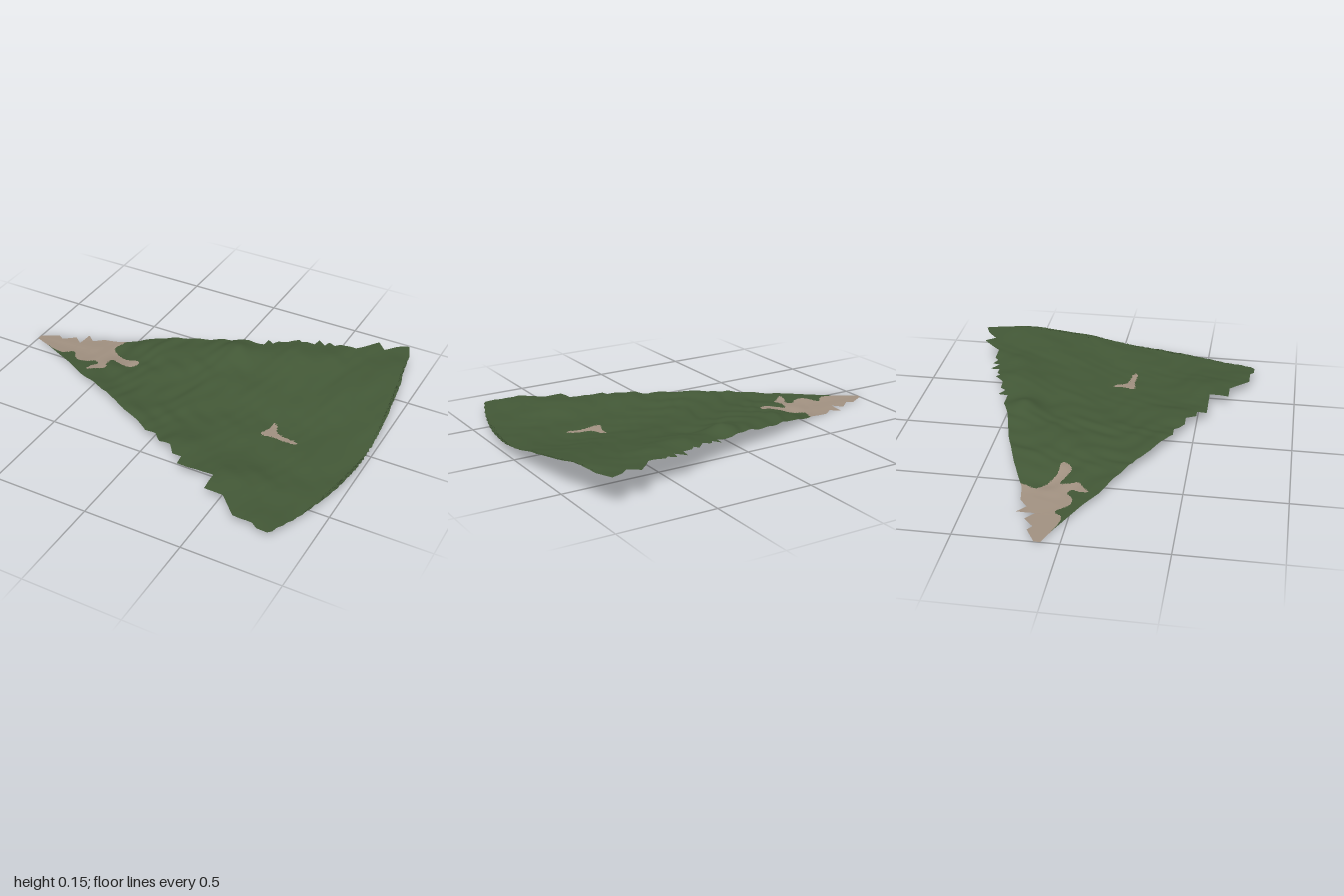
import * as THREE from 'three';

// Ragged side edges of the wedge as [x, z]
const BACK = [[-1, -0.12], [-0.91, -0.17], [-0.88, -0.15], [-0.82, -0.2], [-0.772, -0.16], [-0.768, -0.25], [-0.72, -0.21],
  [-0.67, -0.25], [-0.57, -0.265], [-0.4, -0.34], [-0.2, -0.41], [0, -0.46], [0.09, -0.5], [0.178, -0.5], [0.182, -0.55],
  [0.22, -0.52], [0.24, -0.55], [0.29, -0.55], [0.34, -0.6], [0.36, -0.58], [0.38, -0.6], [0.428, -0.6], [0.432, -0.65],
  [0.48, -0.61], [0.49, -0.65], [0.53, -0.63], [0.55, -0.65], [0.64, -0.65], [0.73, -0.75], [0.78, -0.7], [0.83, -0.75], [0.89, -0.78], [1, -0.78]];
const FRONT = [[-1, -0.09], [-0.9, -0.05], [-0.8, 0], [-0.7, 0.05], [-0.6, 0.11], [-0.5, 0.15], [-0.4, 0.2], [-0.3, 0.25],
  [-0.2, 0.31], [-0.1, 0.35], [-0.03, 0.4], [0.03, 0.4], [0.08, 0.45], [0.14, 0.45], [0.18, 0.5], [0.228, 0.5], [0.232, 0.55],
  [0.428, 0.55], [0.432, 0.65], [0.53, 0.65], [0.63, 0.75], [0.73, 0.75], [0.76, 0.77], [1, 0.77]];

// Bare earth: the patch at the tip and a small clearing
const PATCHES = [
  [[-1.06, -0.32], [-0.58, -0.31], [-0.57, -0.2], [-0.53, -0.16], [-0.45, -0.115], [-0.37, -0.11], [-0.37, -0.07], [-0.41, -0.05],
    [-0.47, -0.07], [-0.52, -0.09], [-0.525, -0.04], [-0.51, 0], [-0.55, 0.03], [-0.59, 0.06], [-0.59, 0.02], [-0.57, -0.02],
    [-0.6, -0.04], [-0.64, -0.01], [-0.7, -0.01], [-0.75, -0.07], [-0.8, -0.03], [-0.87, -0.04], [-0.92, -0.055], [-1.06, -0.04]],
  [[0.49, 0.02], [0.52, 0.04], [0.53, 0.08], [0.58, 0.1], [0.65, 0.11], [0.65, 0.135], [0.55, 0.13], [0.5, 0.14], [0.47, 0.125], [0.49, 0.07]],
].map((pts) => {
  const v = pts.map(([x, z]) => new THREE.Vector2(x, z));
  return new THREE.SplineCurve([...v, v[0]]).getPoints(pts.length * 4);
});

// Broad relief: rows run from the tip to the arc, columns from back to front
const RELIEF = [
  [0.002, 0.002, 0.002, 0.002, 0.002],
  [0.007, 0.012, 0.012, 0.02, 0.03],
  [0.072, 0.068, 0.052, 0.047, 0.055],
  [0.1, 0.082, 0.045, 0.04, 0.055],
  [0.13, 0.1, 0.042, 0.032, 0.048],
  [0.15, 0.13, 0.06, 0.032, 0.036],
];
// Hills and hollows: x, z, height, radius
const HILLS = [[0.07, -0.38, 0.035, 0.08], [0.35, -0.48, 0.028, 0.12], [0.55, -0.5, 0.012, 0.09], [0.9, -0.58, 0.012, 0.1],
  [-0.35, -0.25, 0.012, 0.09], [-0.52, -0.17, -0.012, 0.06], [0.55, 0.52, 0.022, 0.13], [0.2, 0.4, 0.012, 0.1], [0.2, -0.25, -0.012, 0.09]];

function edgeAt(edge, x) {
  let i = 0;
  while (i < edge.length - 2 && edge[i + 1][0] < x) i++;
  const [a, b] = [edge[i], edge[i + 1]];
  return THREE.MathUtils.mapLinear(x, a[0], b[0], a[1], b[1]);
}

function cubic(list, t) {
  const n = list.length - 1;
  const at = (k) => list[THREE.MathUtils.clamp(k, 0, n)];
  const i = Math.min(Math.floor(t), n - 1), f = t - i;
  const [a, b, c, d] = [at(i - 1), at(i), at(i + 1), at(i + 2)];
  return b + 0.5 * f * (c - a + f * (2 * a - 5 * b + 4 * c - d + f * (3 * (b - c) + d - a)));
}

function heightAt(x, z) {
  const zBack = -0.12 - 0.35 * (x + 1), zFront = -0.09 + 0.475 * (x + 1);
  const v = THREE.MathUtils.clamp((z - zBack) / (zFront - zBack), 0, 1) * 4;
  const u = THREE.MathUtils.clamp((x + 1) / 0.4, 0, 5);
  let y = cubic(RELIEF.map((row) => cubic(row, v)), u);
  for (const [hx, hz, h, r] of HILLS) y += h * Math.exp(-((x - hx) ** 2 + (z - hz) ** 2) / (r * r));
  // Small wandering ridges, fading out toward the tip
  const fade = THREE.MathUtils.smoothstep(x, -0.75, -0.4);
  const fine = 1 - 0.6 * THREE.MathUtils.smoothstep(x, -0.1, 0.4);
  y += fade * 0.003 * Math.sin(9 * x + 17 * z + 2 * Math.sin(7 * x - 4 * z));
  y += fade * fine * 0.0028 * Math.sin(38 * x - 21 * z + 2.5 * Math.sin(13 * z + 6 * x));
  y += fade * fine * 0.0018 * Math.sin(31 * z + 47 * x + 2 * Math.sin(19 * x));
  return Math.max(0, y);
}

function isEarth(x, z) {
  return PATCHES.some((poly) => {
    let inside = false;
    for (let i = 0, j = poly.length - 1; i < poly.length; j = i++) {
      const a = poly[i], b = poly[j];
      if ((a.y > z) !== (b.y > z) && x < ((b.x - a.x) * (z - a.y)) / (b.y - a.y) + a.x) inside = !inside;
    }
    return inside;
  });
}

// The far edge is an arc, a little flatter toward the back
const arcX = (z) => 0.985 - (z > 0 ? 0.175 * (z / 0.77) ** 2 : 0.1 * (z / 0.78) ** 2);
const arcZ = (x, half, depth) => half * Math.sqrt(Math.max(0, 0.985 - x) / depth);

export function createModel() {
  const group = new THREE.Group();
  group.name = 'terrain';
  const grass = new THREE.MeshStandardMaterial({ color: 0x425736, side: THREE.DoubleSide });
  grass.name = 'grass green';
  const earth = new THREE.MeshStandardMaterial({ color: 0xa09080, side: THREE.DoubleSide });
  earth.name = 'bare earth';

  // Columns along x, closer together at the arc and at each step of the edges
  const xs = [...BACK, ...FRONT].map((p) => p[0]).filter((x) => x < 0.8);
  for (let i = 0; i <= 180; i++) xs.push(-1 + i * 0.01);
  for (let i = 1; i <= 40; i++) xs.push(0.985 - 0.185 * (1 - i / 40) ** 2);
  const columns = [...new Set(xs.map((x) => +x.toFixed(4)))].sort((a, b) => a - b);

  const N = 130, positions = [], grassFaces = [], earthFaces = [];
  for (const x of columns) {
    const z0 = Math.max(edgeAt(BACK, x), -arcZ(x, 0.78, 0.1));
    const z1 = Math.min(edgeAt(FRONT, x), arcZ(x, 0.77, 0.175));
    for (let j = 0; j <= N; j++) {
      const z = THREE.MathUtils.lerp(z0, z1, j / N);
      // Fine teeth along the arc
      const near = THREE.MathUtils.clamp(1 - (arcX(z) - x) / 0.03, 0, 1);
      const tooth = Math.abs((((z / 0.03) % 1) + 1) % 1 - 0.5) * 2;
      positions.push(x + near * 0.015 * tooth, heightAt(x, z), z);
    }
  }
  const addFace = (...ids) => {
    const mid = (k) => ids.reduce((s, id) => s + positions[id * 3 + k], 0) / 3;
    (isEarth(mid(0), mid(2)) ? earthFaces : grassFaces).push(...ids);
  };
  for (let i = 0; i < columns.length - 1; i++) {
    for (let j = 0; j < N; j++) {
      const a = i * (N + 1) + j, c = a + N + 1;
      addFace(a, a + 1, c);
      addFace(a + 1, c + 1, c);
    }
  }

  // One smooth sheet, with a material group for each ground colour
  const geometry = new THREE.BufferGeometry();
  geometry.setAttribute('position', new THREE.Float32BufferAttribute(positions, 3));
  geometry.setIndex(grassFaces.concat(earthFaces));
  geometry.addGroup(0, grassFaces.length, 0);
  geometry.addGroup(grassFaces.length, earthFaces.length, 1);
  geometry.computeVertexNormals();
  const sheet = new THREE.Mesh(geometry, [grass, earth]);
  sheet.name = 'groundSheet';
  group.add(sheet);
  return group;
}
